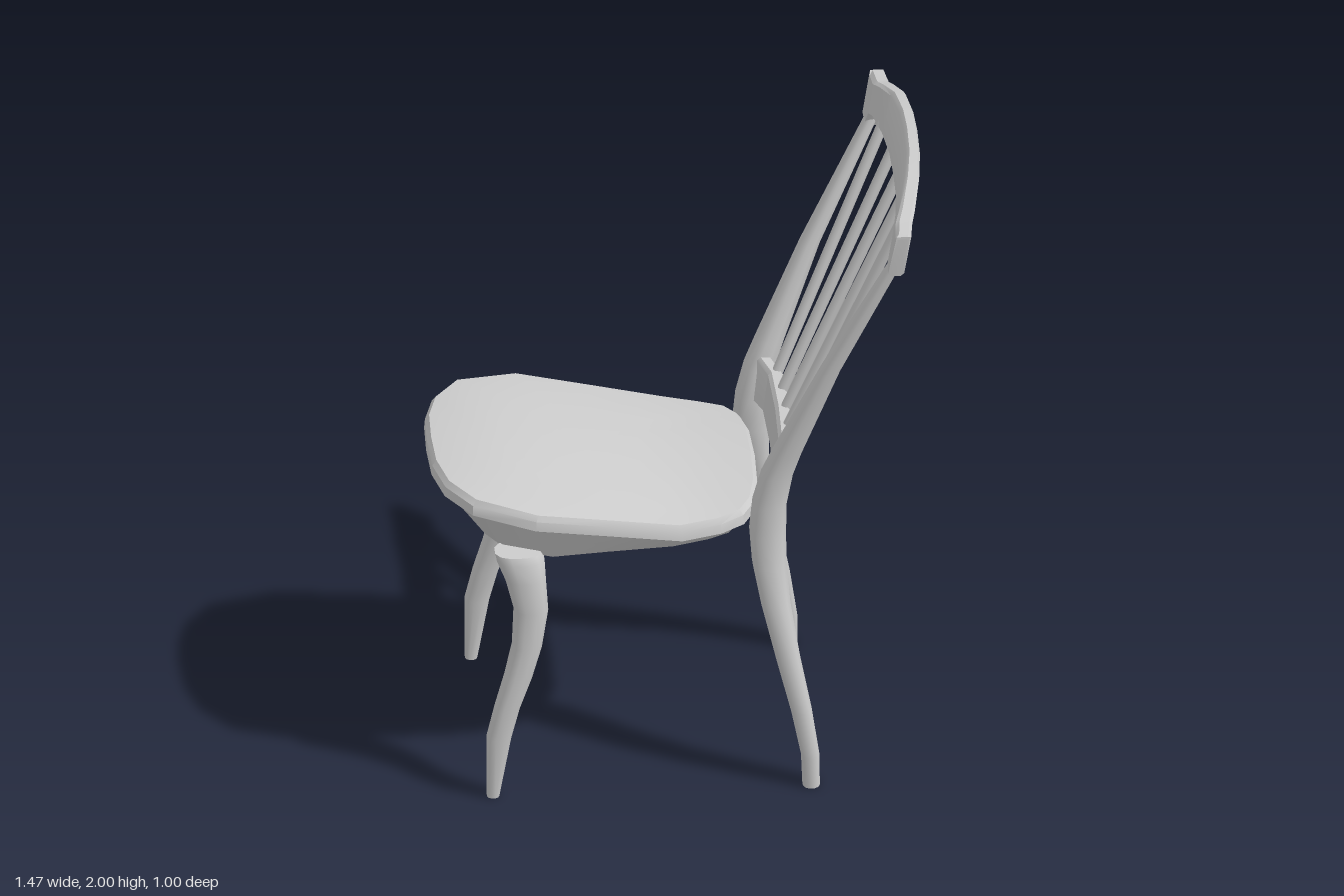
import * as THREE from 'three';
import { toCreasedNormals } from 'three/addons/utils/BufferGeometryUtils.js';

const material = new THREE.MeshStandardMaterial({ color: 0xcccccc });
const V = (x, y, z) => new THREE.Vector3(x, y, z);

// Closed solid through rings of equal point count, with fan caps on both ends.
function loft(rings, crease = 0.7) {
  const n = rings[0].length, pos = [], index = [];
  rings.forEach(r => r.forEach(p => pos.push(p.x, p.y, p.z)));
  for (let i = 0; i < rings.length - 1; i++) {
    for (let j = 0; j < n; j++) {
      const a = i * n + j, b = i * n + (j + 1) % n;
      index.push(a, b, b + n, a, b + n, a + n);
    }
  }
  [0, rings.length - 1].forEach(i => {
    const c = rings[i].reduce((s, p) => s.add(p), V(0, 0, 0)).divideScalar(n);
    const k = pos.length / 3;
    pos.push(c.x, c.y, c.z);
    for (let j = 0; j < n; j++) {
      const a = i * n + j, b = i * n + (j + 1) % n;
      if (i) index.push(a, b, k); else index.push(b, a, k);
    }
  });
  // Turn the faces outward if the enclosed volume comes out negative.
  const at = i => V(pos[3 * i], pos[3 * i + 1], pos[3 * i + 2]);
  let volume = 0;
  for (let i = 0; i < index.length; i += 3) {
    volume += at(index[i]).dot(at(index[i + 1]).cross(at(index[i + 2])));
  }
  if (volume < 0) index.reverse();
  const g = new THREE.BufferGeometry();
  g.setAttribute('position', new THREE.Float32BufferAttribute(pos, 3));
  g.setIndex(index);
  return toCreasedNormals(g, crease);
}

function add(group, name, geometry) {
  const mesh = new THREE.Mesh(geometry, material);
  mesh.name = name;
  group.add(mesh);
  return mesh;
}

// Linear lookup in a list of [key, value].
function lookup(table, x) {
  if (x <= table[0][0]) return table[0][1];
  for (let i = 1; i < table.length; i++) {
    const [x0, y0] = table[i - 1], [x1, y1] = table[i];
    if (x <= x1) return y0 + (y1 - y0) * (x - x0) / (x1 - x0);
  }
  return table[table.length - 1][1];
}

// Leg from rows of [y, x, z, half width in x, half width in z].
function leg(rows, side) {
  const n = 12, soft = v => Math.sign(v) * Math.pow(Math.abs(v), 0.8);
  return loft(rows.map(([y, x, z, hx, hz]) => Array.from({ length: n }, (_, j) => {
    const a = (j + 0.5) / n * Math.PI * 2;
    return V(x + hx * soft(Math.cos(a)), y, side * (z + hz * soft(Math.sin(a))));
  })), 0.9);
}

// Rail bowed across z, from half rows of [z, bottom y, top y, bottom x, top x, thickness].
function rail(half) {
  const rows = [...half.slice().reverse().map(r => [-r[0], ...r.slice(1)]), ...half.filter(r => r[0] > 0)];
  const profile = [[-0.5, 0.06], [-0.3, 0], [0.3, 0], [0.5, 0.06], [0.5, 0.92], [0.3, 1], [-0.3, 1], [-0.5, 0.92]];
  return loft(rows.map(([z, y0, y1, x0, x1, t]) => profile.map(([u, v]) =>
    V(x0 + (x1 - x0) * v + u * t, y0 + (y1 - y0) * v, z))), 0.6);
}

export function createModel() {
  const chair = new THREE.Group();
  chair.name = 'chair';

  // Seat outline, and the height of its top along x with drooping sides
  const halfOutline = [[-0.735, 0], [-0.73, 0.14], [-0.7, 0.26], [-0.625, 0.37], [-0.44, 0.44], [-0.22, 0.42],
    [0, 0.4], [0.12, 0.36], [0.19, 0.32], [0.225, 0.26], [0.245, 0.16], [0.25, 0]];
  const outline = [...halfOutline, ...halfOutline.slice(1, -1).reverse().map(([x, z]) => [x, -z])];
  const heights = [[-0.74, 1.0], [-0.6, 1.01], [-0.44, 0.995], [-0.2, 0.95], [0, 0.912], [0.12, 0.905], [0.25, 0.908]];
  const cx = -0.24;
  const seatRing = (s, drop) => outline.map(([px, pz]) => {
    const x = cx + (px - cx) * s, z = pz * s;
    return V(x, lookup(heights, x) - drop - 0.035 * (z / 0.44) ** 2, z);
  });
  add(chair, 'seat', loft([seatRing(0.5, 0.058), seatRing(0.97, 0.058), seatRing(1, 0.048), seatRing(0.995, 0.018),
    seatRing(0.97, 0.002), seatRing(0.8, 0), seatRing(0.55, 0), seatRing(0.3, 0), seatRing(0.05, 0)], 0.55));

  // Flared apron under the seat, flat at the bottom
  const apronBottom = outline.map(([x, z]) => V(cx + (x - cx) * (x < cx ? 0.73 : 0.9), 0.785, z * 0.85));
  const apronTop = seatRing(0.96, 0.053);
  const apronMiddle = apronTop.map((p, i) => p.clone().lerp(apronBottom[i], 0.5));
  add(chair, 'apron', loft([apronBottom, apronMiddle, apronTop], 0.6));

  // Legs, mirrored left and right; the rear legs run up as back posts
  const frontRows = [[0, -0.568, 0.415, 0.019, 0.025], [0.2, -0.55, 0.415, 0.037, 0.034], [0.3, -0.525, 0.412, 0.038, 0.038],
    [0.4, -0.492, 0.405, 0.042, 0.042], [0.5, -0.465, 0.395, 0.045, 0.046], [0.62, -0.452, 0.382, 0.052, 0.052],
    [0.72, -0.468, 0.37, 0.062, 0.056], [0.78, -0.482, 0.362, 0.073, 0.058], [0.803, -0.49, 0.355, 0.07, 0.056]];
  const rearRows = [[0, 0.382, 0.422, 0.026, 0.033], [0.1, 0.38, 0.42, 0.028, 0.034], [0.25, 0.354, 0.412, 0.032, 0.038],
    [0.42, 0.316, 0.396, 0.037, 0.045], [0.6, 0.28, 0.362, 0.045, 0.058], [0.72, 0.264, 0.335, 0.052, 0.064],
    [0.82, 0.26, 0.323, 0.055, 0.067], [0.92, 0.266, 0.322, 0.051, 0.063], [1.02, 0.288, 0.328, 0.047, 0.058],
    [1.1, 0.318, 0.338, 0.043, 0.053], [1.4, 0.442, 0.385, 0.03, 0.04], [1.79, 0.632, 0.443, 0.019, 0.027]];
  for (const side of [1, -1]) {
    const word = side > 0 ? 'A' : 'B';
    add(chair, 'frontLeg' + word, leg(frontRows, side));
    add(chair, 'rearLegAndPost' + word, leg(rearRows, side));
  }

  // Lower back rail between the posts
  add(chair, 'lowerBackRail', rail([[0, 0.92, 1.06, 0.314, 0.332, 0.045], [0.2, 0.92, 1.06, 0.309, 0.327, 0.045],
    [0.3, 0.92, 1.065, 0.272, 0.295, 0.045]]));

  // Crest rail, arched and bowed, with dropped ends
  add(chair, 'crestRail', rail([[0, 1.83, 2, 0.68, 0.715, 0.042], [0.125, 1.83, 1.989, 0.678, 0.713, 0.042],
    [0.25, 1.828, 1.976, 0.668, 0.699, 0.045], [0.37, 1.822, 1.935, 0.65, 0.675, 0.048], [0.41, 1.808, 1.92, 0.642, 0.664, 0.05],
    [0.425, 1.765, 1.917, 0.633, 0.661, 0.05], [0.485, 1.767, 1.912, 0.63, 0.655, 0.048], [0.502, 1.9, 1.91, 0.65, 0.652, 0.04]]));

  // Fanned spindles
  for (let i = -2; i <= 2; i++) {
    const a = V(0.332 - 0.002 * i * i, 1.03, i * 0.107), b = V(0.688 - 0.006 * i * i, 1.86, i * 0.154);
    const spindle = add(chair, 'spindle' + (i + 3), new THREE.CylinderGeometry(0.017, 0.017, a.distanceTo(b), 10));
    spindle.position.copy(a).lerp(b, 0.5);
    spindle.quaternion.setFromUnitVectors(V(0, 1, 0), b.clone().sub(a).normalize());
  }
  return chair;
}
